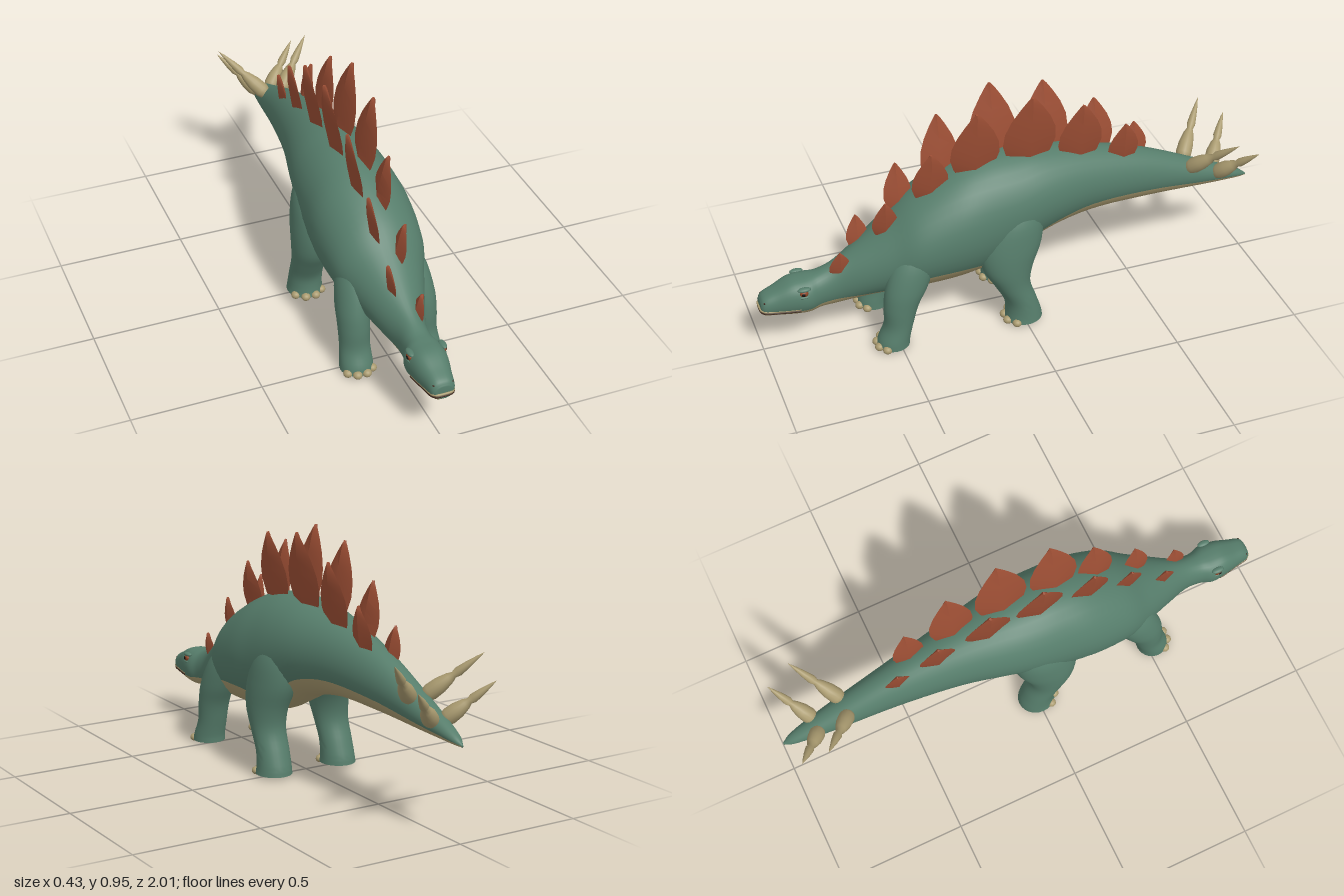
import * as THREE from 'three';
import { toCreasedNormals } from 'three/addons/utils/BufferGeometryUtils.js';

const mat = (name, color) => {
  const m = new THREE.MeshStandardMaterial({ color });
  m.name = name;
  return m;
};

// Skin through rings of points, capped at both ends; columns below `split` form group 0
function loft(rings, split = 0) {
  const n = rings[0].length, pos = [], parts = [[], []];
  rings.forEach(r => r.forEach(p => pos.push(p.x, p.y, p.z)));
  for (let i = 0; i < rings.length - 1; i++) {
    for (let j = 0; j < n; j++) {
      const k = (j + 1) % n, a = i * n + j, b = i * n + k;
      parts[j < split ? 0 : 1].push(a, b, a + n, b, b + n, a + n);
    }
  }
  [0, rings.length - 1].forEach((i, end) => {
    const c = new THREE.Vector3();
    rings[i].forEach(p => c.addScaledVector(p, 1 / n));
    const id = pos.length / 3;
    pos.push(c.x, c.y, c.z);
    for (let j = 0; j < n; j++) {
      const a = i * n + j, b = i * n + (j + 1) % n;
      parts[1].push(id, end ? a : b, end ? b : a);
    }
  });
  const g = new THREE.BufferGeometry();
  g.setAttribute('position', new THREE.Float32BufferAttribute(pos, 3));
  g.setIndex([...parts[0], ...parts[1]]);
  if (split) {
    g.addGroup(0, parts[0].length, 0);
    g.addGroup(parts[0].length, parts[1].length, 1);
  }
  g.computeVertexNormals();
  return g;
}

// Horizontal ellipse, ordered for lofting upwards
const ellipse = (n, x, y, z, rx, rz) => Array.from({ length: n }, (_, j) => {
  const a = j / n * Math.PI * 2;
  return new THREE.Vector3(x + rx * Math.cos(a), y, z - rz * Math.sin(a));
});

const smooth = pts => new THREE.CatmullRomCurve3(pts.map(p => new THREE.Vector3(...p)), false, 'catmullrom', 0.5);

// Tail to snout: z, top, bottom, half width, belly edge height, roundness
const STATIONS = [
  [-1, .355, .345, .004, .35, 1], [-.95, .39, .347, .025, .363, 1], [-.8, .46, .352, .05, .385, 1],
  [-.55, .57, .36, .08, .42, 1], [-.3, .645, .36, .12, .435, 1], [-.12, .68, .325, .16, .4, 1],
  [0, .69, .27, .18, .325, 1], [.12, .685, .215, .19, .29, 1], [.25, .65, .195, .197, .3, 1],
  [.4, .57, .19, .18, .29, 1], [.5, .485, .185, .14, .235, 1], [.6, .41, .175, .1, .215, 1],
  [.7, .345, .16, .062, .205, 1], [.77, .315, .16, .06, .2, .9], [.82, .308, .158, .076, .195, .8],
  [.88, .304, .163, .07, .195, .7], [.94, .278, .17, .056, .195, .7], [.985, .258, .176, .046, .198, .7],
  [1, .238, .187, .032, .2, .8],
];
const curveA = smooth(STATIONS.map(s => s.slice(0, 3)));
const curveB = smooth(STATIONS.map(s => s.slice(3)));

function section(t) {
  const a = curveA.getPoint(t), b = curveB.getPoint(t);
  const c = (a.y + a.z) / 2, h = (a.y - a.z) / 2;
  const edge = Math.acos(THREE.MathUtils.clamp((c - b.y) / h, -.8, .8));
  const at = q => {
    const s = Math.sin(q);
    return new THREE.Vector3(b.x * Math.sign(s) * Math.abs(s) ** b.z, c - h * Math.cos(q), a.x);
  };
  return { edge, at };
}

export function createModel() {
  const root = new THREE.Group();
  root.name = 'platedDinosaur';
  const green = mat('green skin', 0x567d6b), tan = mat('tan horn and belly', 0xaa9b70);
  const rust = mat('rust plate', 0x9c4e34), amber = mat('amber eye', 0x8c4526);
  const black = mat('black pupil', 0x15120f), brown = mat('dark mouth', 0x3e281c);
  const add = (name, geo, material, parent = root) => {
    const m = new THREE.Mesh(geo, material);
    m.name = name;
    parent.add(m);
    return m;
  };
  const ball = (name, material, r, p, scale) => {
    const m = add(name, new THREE.SphereGeometry(r, 16, 12), material);
    m.position.set(...p);
    m.scale.set(...scale);
    return m;
  };

  // Body, tail, neck and head in one skin with a tan underside
  const BELLY = 10, BACK = 24, STEPS = 90, rings = [];
  for (let i = 0; i <= STEPS; i++) {
    const { edge, at } = section(i / STEPS), ring = [];
    for (let j = 0; j < BELLY; j++) ring.push(at(-edge + 2 * edge * j / BELLY));
    for (let j = 0; j < BACK; j++) ring.push(at(edge + (2 * Math.PI - 2 * edge) * j / BACK));
    rings.push(ring);
  }
  add('body', loft(rings, BELLY), [tan, green]);

  // Mouth line and upper lip wrapped around the muzzle
  const lipPath = dy => {
    const pts = [];
    for (let s = -1; s <= 1; s += 2) {
      for (let i = 0; i <= 8; i++) {
        const k = s < 0 ? i : 8 - i, { edge, at } = section((14.6 + 3.4 * k / 8) / 18);
        const p = at(s * edge);
        p.y += dy;
        pts.push(p);
      }
    }
    return new THREE.CatmullRomCurve3(pts);
  };
  add('mouth', new THREE.TubeGeometry(lipPath(0), 60, .004, 8), brown);
  add('upperLip', new THREE.TubeGeometry(lipPath(.008), 60, .0045, 8), tan);

  // Legs: y, x, z, radius in x, radius in z
  const LEGS = {
    front: [[.01, .137, .525, .064, .064], [.04, .137, .52, .062, .062], [.1, .135, .5, .058, .057],
      [.18, .134, .487, .06, .068], [.26, .13, .46, .062, .083], [.36, .11, .42, .062, .085], [.46, .08, .38, .04, .05]],
    hind: [[.01, .145, 0, .07, .075], [.04, .144, 0, .067, .07], [.1, .143, .012, .065, .063],
      [.18, .142, .045, .067, .072], [.26, .138, .06, .074, .1], [.36, .123, .045, .084, .125],
      [.47, .1, .02, .085, .11], [.58, .07, 0, .045, .06]],
  };
  for (const [kind, rows] of Object.entries(LEGS)) {
    const pos = smooth(rows.map(r => r.slice(0, 3))), rad = smooth(rows.map(r => [r[3], r[4], 0]));
    for (const s of [1, -1]) {
      const side = s > 0 ? 'Left' : 'Right', legRings = [];
      for (let i = 0; i <= 28; i++) {
        const p = pos.getPoint(i / 28), r = rad.getPoint(i / 28);
        legRings.push(ellipse(28, s * p.y, p.x, p.z, r.x, r.y));
      }
      add(kind + side + 'Leg', toCreasedNormals(loft(legRings), 1), green);
      const [, x, z, rx, rz] = rows[0];
      for (const a of [-.95, -.32, .32, .95]) {
        ball(kind + side + 'Toe', tan, .018,
          [s * x + rx * .92 * Math.sin(a), .0155, z + rz * Math.cos(a) * .98], [1, .86, 1]);
      }
    }
  }

  // Back plates, alternating sides: z, visible base, tip height, half length
  const PLATES = [
    [.69, .32, .41, .042], [.6, .39, .5, .043], [.51, .465, .595, .05], [.435, .52, .69, .055],
    [.33, .585, .775, .072], [.265, .61, .86, .075], [.155, .655, .92, .097], [.055, .66, .95, .095],
    [-.06, .665, .95, .105], [-.155, .655, .92, .092], [-.265, .63, .87, .088], [-.36, .605, .805, .072],
    [-.445, .58, .74, .062], [-.525, .555, .67, .05],
  ];
  const LEAF = [[0, .6, 1], [.15, .84, 1.05], [.32, 1, 1], [.5, .95, .9], [.68, .73, .78], [.84, .43, .62], [.95, .19, .48], [1, .06, .3]];
  PLATES.forEach(([z, base, tip, len], i) => {
    const s = i % 2 ? -1 : 1, h = tip - base + .03, thick = .011 + len * .1;
    const leaf = LEAF.map(([y, l, t]) => ellipse(4, 0, y * h, 0, t * thick, l * len));
    const m = add('backPlate', toCreasedNormals(loft(leaf), .5), rust);
    m.position.set(s * .028, base - .03, z);
    m.rotation.z = -s * .16;
  });

  // Tail spikes: fleshy socket with a narrow horn
  const PROFILE = [[0, 0], [.022, 0], [.031, .12], [.029, .28], [.02, .43], [.012, .5], [.017, .57], [.013, .72], [.006, .89], [0, 1]];
  for (const [from, to] of [
    [[.028, .455, -.73], [.19, .625, -.865]],
    [[.022, .4, -.855], [.165, .55, -.968]],
  ]) {
    for (const s of [1, -1]) {
      const a = new THREE.Vector3(s * from[0], from[1], from[2]);
      const d = new THREE.Vector3(s * to[0], to[1], to[2]).sub(a), L = d.length();
      const m = add('tailSpike', new THREE.LatheGeometry(PROFILE.map(([r, y]) => new THREE.Vector2(r, y * L)), 16), tan);
      m.position.copy(a);
      m.quaternion.setFromUnitVectors(new THREE.Vector3(0, 1, 0), d.normalize());
    }
  }

  // Eyes, brows and nostrils
  for (const s of [1, -1]) {
    ball('eye', amber, .016, [s * .066, .272, .84], [.65, .8, 1]);
    ball('pupil', black, .008, [s * .0735, .272, .843], [.5, .9, 1]);
    ball('brow', green, .026, [s * .063, .288, .838], [.5, .32, 1]);
    ball('lowerLid', green, .024, [s * .066, .257, .838], [.4, .22, 1]);
    ball('nostril', brown, .005, [s * .036, .242, .985], [.8, .7, 1]);
  }
  return root;
}
